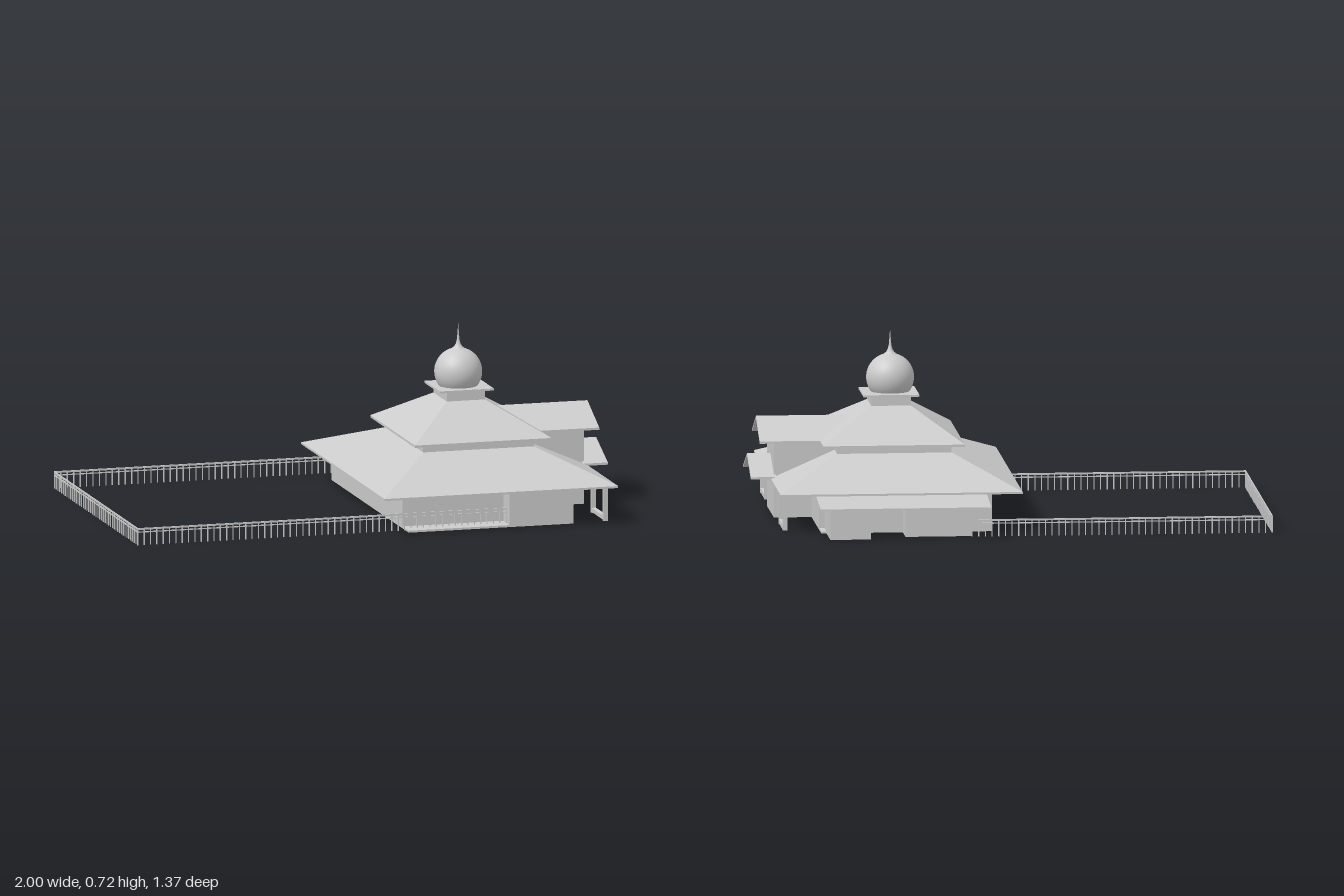
import * as THREE from 'three';

const CZ = 0.09; // building axis
const flat = new THREE.MeshStandardMaterial({ color: 0xcccccc, flatShading: true, side: THREE.DoubleSide });
const smooth = new THREE.MeshStandardMaterial({ color: 0xcccccc, side: THREE.DoubleSide });

export function createModel() {
  const model = new THREE.Group();

  const add = (name, geometry, material = flat, parent = model) => {
    const mesh = new THREE.Mesh(geometry, material);
    mesh.name = name;
    parent.add(mesh);
    return mesh;
  };
  const boxGeo = (x0, x1, y0, y1, z0, z1) =>
    new THREE.BoxGeometry(x1 - x0, y1 - y0, z1 - z0)
      .translate((x0 + x1) / 2, (y0 + y1) / 2, (z0 + z1) / 2);
  const box = (name, x0, x1, y0, y1, z0, z1, parent = model) =>
    add(name, boxGeo(x0, x1, y0, y1, z0, z1), flat, parent);
  const group = (name) => {
    const g = new THREE.Group();
    g.name = name;
    model.add(g);
    return g;
  };

  // Hipped roof: a box whose top face is drawn in to a smaller rectangle
  const hipRoof = (name, base, top, y0, y1, fascia) => {
    const g = group(name);
    box(name + 'Fascia', base[0], base[1], y0 - fascia, y0, base[2], base[3], g);
    const geo = boxGeo(base[0], base[1], y0, y1, base[2], base[3]);
    const p = geo.attributes.position;
    const cx = (base[0] + base[1]) / 2, cz = (base[2] + base[3]) / 2;
    for (let i = 0; i < p.count; i++) {
      if (p.getY(i) > (y0 + y1) / 2) {
        p.setX(i, p.getX(i) < cx ? top[0] : top[1]);
        p.setZ(i, p.getZ(i) < cz ? top[2] : top[3]);
      }
    }
    geo.computeVertexNormals();
    add(name + 'Slopes', geo, flat, g);
  };

  // Profile in (z, y), extruded along x
  const alongX = (name, points, x0, x1) => {
    const shape = new THREE.Shape(points.map(([z, y]) => new THREE.Vector2(z, y)));
    const geo = new THREE.ExtrudeGeometry(shape, { depth: x1 - x0, bevelEnabled: false });
    geo.rotateY(Math.PI / 2).translate(x0, 0, CZ);
    return add(name, geo);
  };
  const gableRoof = (name, ridge, eave, half, x0, x1) => {
    const t = 0.009;
    alongX(name, [[-half, eave], [0, ridge], [half, eave], [half, eave - t], [0, ridge - t], [-half, eave - t]], x0, x1);
  };

  // Ground floor, with a recessed porch at the front
  box('floorSlab', 0.09, 0.76, 0, 0.008, -0.49, 0.61);
  box('mainWalls', 0.09, 0.76, 0, 0.15, -0.40, 0.52);
  box('frontRoom', 0.50, 0.76, 0, 0.15, 0.52, 0.61);
  box('rearRoom', 0.09, 0.60, 0, 0.15, -0.49, -0.40);
  box('rearAnnex', 0.18, 0.44, 0, 0.133, -0.61, -0.49);
  box('rearStore', 0.58, 0.74, 0, 0.125, -0.665, -0.40);

  // Sloping roof over the rear rooms
  const leanTo = boxGeo(0.11, 0.78, 0, 0.006, -0.685, -0.49);
  const lp = leanTo.attributes.position;
  for (let i = 0; i < lp.count; i++) lp.setY(i, lp.getY(i) + (lp.getZ(i) < -0.6 ? 0.118 : 0.142));
  add('rearLeanToRoof', leanTo);

  // Tiered roofs
  hipRoof('lowerRoof', [-0.03, 0.92, -0.50, 0.685], [0.22, 0.67, -0.17, 0.36], 0.155, 0.265, 0.008);
  box('upperWallBand', 0.22, 0.67, 0.26, 0.297, -0.17, 0.36);
  hipRoof('upperRoof', [0.173, 0.728, -0.228, 0.408], [0.365, 0.52, -0.003, 0.188], 0.304, 0.427, 0.009);

  // Dome on its square drum
  box('drum', 0.365, 0.52, 0.42, 0.466, 0, 0.188);
  box('drumCap', 0.333, 0.552, 0.464, 0.472, -0.02, 0.205);
  const profile = [];
  for (let i = 0; i <= 22; i++) {
    const a = THREE.MathUtils.lerp(-0.64, 1.28, i / 22);
    profile.push(new THREE.Vector2(0.094 * Math.cos(a), 0.527 + 0.094 * Math.sin(a)));
  }
  [[0.016, 0.626], [0.009, 0.638], [0.005, 0.655], [0.003, 0.68], [0, 0.72]]
    .forEach(([r, y]) => profile.push(new THREE.Vector2(r, y)));
  add('domeAndFinial', new THREE.LatheGeometry(profile, 40), smooth).position.set(0.438, 0, 0.095);

  // Gabled entrance on the side
  alongX('entranceWalls', [[-0.15, 0], [0.15, 0], [0.15, 0.303], [0, 0.371], [-0.15, 0.303]], 0.60, 0.908);
  gableRoof('entranceUpperRoof', 0.381, 0.304, 0.168, 0.585, 0.965);
  gableRoof('entranceLowerRoof', 0.233, 0.163, 0.168, 0.90, 1.0);

  // Post frames holding up the side eaves
  for (const [z0, z1] of [[0.41, 0.595], [-0.405, -0.22]]) {
    const frame = group('eaveFrame');
    const t = 0.014;
    box('post', 0.886, 0.904, 0, 0.15, z0, z0 + t, frame);
    box('post', 0.886, 0.904, 0, 0.15, z1 - t, z1, frame);
    box('sill', 0.886, 0.904, 0.004, 0.02, z0, z1, frame);
    box('head', 0.886, 0.904, 0.14, 0.15, z0, z1, frame);
  }

  // Picket fence round the yard, running on as the porch rail
  const fenceRun = (name, x0, z0, x1, z1) => {
    const g = group(name);
    const t = 0.002;
    const rail = (y0, y1) => box('rail', Math.min(x0, x1) - t, Math.max(x0, x1) + t, y0, y1,
      Math.min(z0, z1) - t, Math.max(z0, z1) + t, g);
    rail(0.061, 0.068);
    rail(0.05, 0.054);
    const n = Math.round(Math.hypot(x1 - x0, z1 - z0) / 0.026);
    const pickets = new THREE.InstancedMesh(boxGeo(-t, t, 0, 0.066, -t, t), flat, 1);
    for (let i = 0; i <= n; i++) {
      const m = add('picket', pickets.geometry, flat, g);
      m.position.set(THREE.MathUtils.lerp(x0, x1, i / n), 0, THREE.MathUtils.lerp(z0, z1, i / n));
    }
  };
  fenceRun('frontFence', -0.998, 0.56, 0.50, 0.56);
  fenceRun('sideFence', -0.998, -0.625, -0.998, 0.56);
  fenceRun('backFence', -0.998, -0.625, 0.18, -0.625);

  return model;
}
